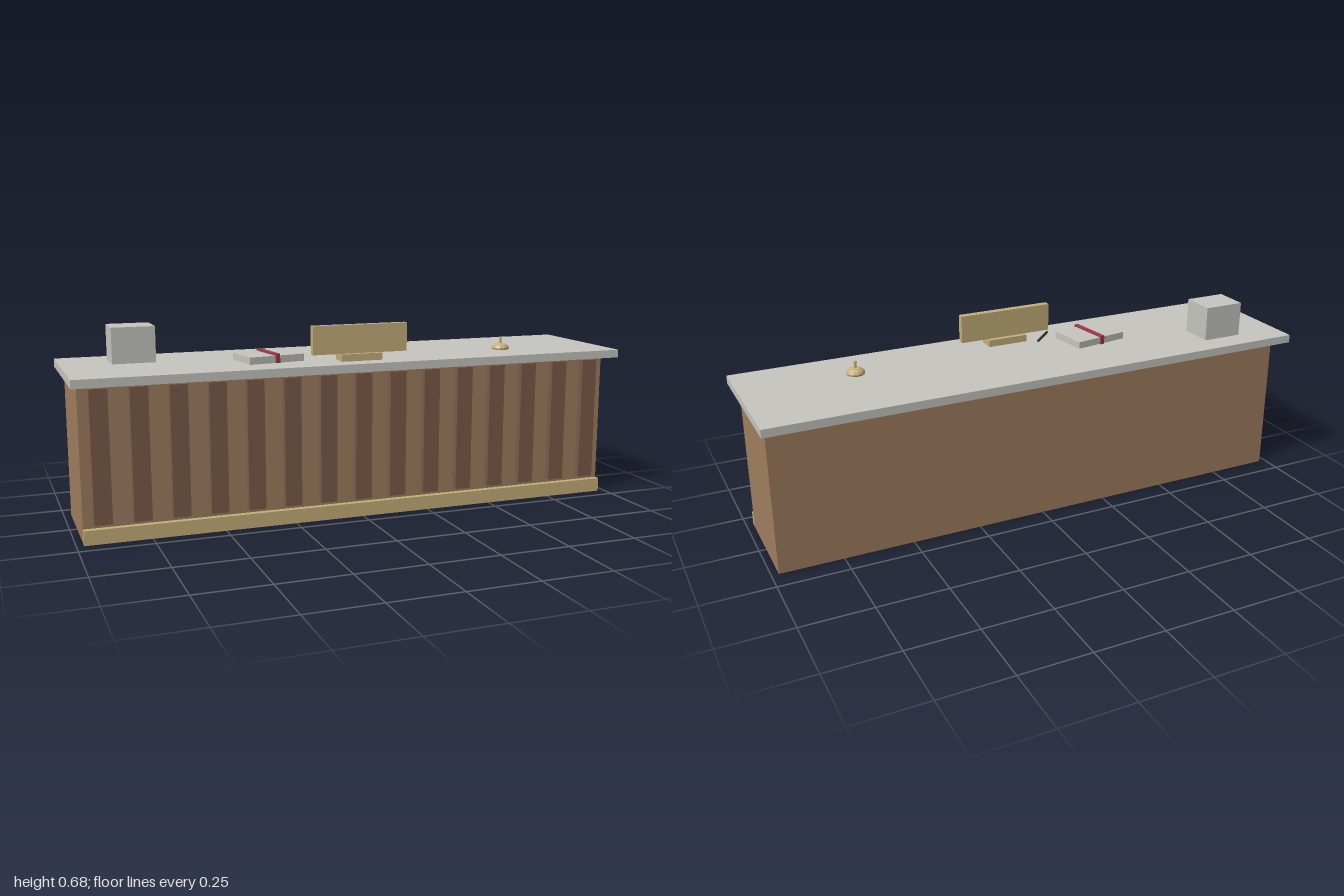
import * as THREE from 'three';

const mat = (name, color, flatShading = false) => {
  const m = new THREE.MeshStandardMaterial({ color, flatShading });
  m.name = name;
  return m;
};

export function createModel() {
  const wood = mat('wood', 0xa07f5f);
  const darkWood = mat('darkWood', 0x7c5c4a);
  const brass = mat('brass', 0xc6b07a);
  const bellBrass = brass.clone();
  bellBrass.flatShading = true;
  const stone = mat('stone', 0xc7c6c0);
  const red = mat('ribbonRed', 0xa03a4a);
  const ink = mat('penDark', 0x3a302a);

  const model = new THREE.Group();
  model.name = 'receptionDesk';

  // Box given by its minimum and maximum on each axis
  const box = (name, material, [x0, x1], [y0, y1], [z0, z1], parent = model) => {
    const mesh = new THREE.Mesh(new THREE.BoxGeometry(x1 - x0, y1 - y0, z1 - z0), material);
    mesh.position.set((x0 + x1) / 2, (y0 + y1) / 2, (z0 + z1) / 2);
    mesh.name = name;
    parent.add(mesh);
    return mesh;
  };
  const TOP = 0.556;

  // Desk
  box('body', wood, [-0.975, 0.975], [0, 0.527], [-0.175, 0.175]);
  box('counterTop', stone, [-1, 1], [0.527, TOP], [-0.25, 0.25]);
  box('kickBoard', brass, [-0.975, 0.975], [0, 0.05], [0.175, 0.197]);
  for (let i = 0; i < 15; i++) {
    const x = -0.91 + i * 0.13;
    box('frontSlat', darkWood, [x - 0.03, x + 0.03], [0.065, 0.515], [0.175, 0.2]);
  }

  // Block at the back corner
  box('block', stone, [-0.828, -0.678], [TOP, 0.681], [-0.162, -0.037]);

  // Name plate on its foot
  box('namePlateFoot', brass, [-0.075, 0.075], [TOP, 0.581], [0.12, 0.18]);
  box('namePlate', brass, [-0.175, 0.175], [0.581, 0.681], [0.138, 0.163]);

  // Guest book with ribbon, turned a little
  const book = new THREE.Group();
  book.name = 'guestBook';
  book.position.set(-0.302, TOP, 0.05);
  book.rotation.y = 0.15;
  model.add(book);
  box('bookBlock', stone, [-0.102, 0.102], [0, 0.025], [-0.074, 0.074], book);
  box('bookRibbon', red, [-0.0075, 0.0075], [0, 0.032], [-0.081, 0.081], book);

  // Pen
  const pen = new THREE.Mesh(new THREE.CylinderGeometry(0.004, 0.004, 0.105, 8), ink);
  pen.name = 'pen';
  pen.rotation.set(0, Math.PI / 4, Math.PI / 2);
  pen.position.set(-0.113, 0.587, 0.062);
  model.add(pen);

  // Desk bell
  const bell = new THREE.Group();
  bell.name = 'deskBell';
  bell.position.set(0.597, TOP, 0.075);
  model.add(bell);
  const profile = [[0, 0], [0.031, 0], [0.033, 0.006], [0.029, 0.014], [0.018, 0.021], [0, 0.024]];
  const dome = new THREE.Mesh(
    new THREE.LatheGeometry(profile.map(([r, y]) => new THREE.Vector2(r, y)), 12), bellBrass);
  dome.name = 'bellDome';
  const button = new THREE.Mesh(new THREE.CylinderGeometry(0.005, 0.005, 0.026, 8), brass);
  button.name = 'bellButton';
  button.position.y = 0.033;
  bell.add(dome, button);

  return model;
}
